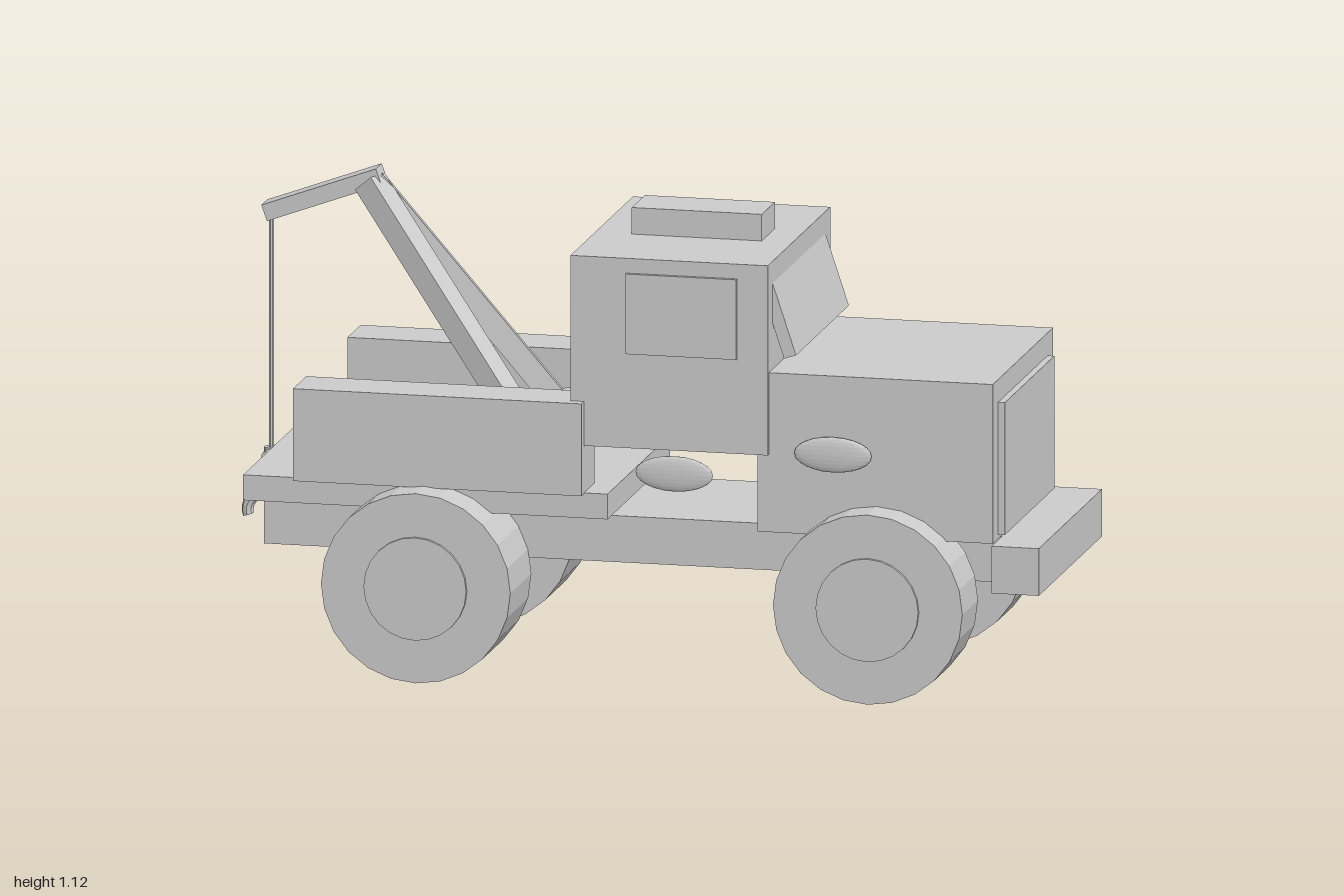
import * as THREE from 'three';

// Tow truck, built along local +x and then turned on its base
export function createModel() {
  const grey = new THREE.MeshStandardMaterial({ color: 0xcccccc, flatShading: true });
  grey.name = 'plain grey';
  const smoothGrey = grey;
  const truck = new THREE.Group();
  truck.name = 'towTruck';

  const add = (name, geometry, x = 0, y = 0, z = 0, material = grey) => {
    const mesh = new THREE.Mesh(geometry, material);
    mesh.name = name;
    mesh.position.set(x, y, z);
    truck.add(mesh);
    return mesh;
  };

  // Box given by its limits along each axis
  const block = (name, x0, x1, y0, y1, z0, z1) =>
    add(name, new THREE.BoxGeometry(x1 - x0, y1 - y0, z1 - z0),
      (x0 + x1) / 2, (y0 + y1) / 2, (z0 + z1) / 2);

  // Square beam between two points
  const beam = (name, from, to, width, height) => {
    const a = new THREE.Vector3(...from), b = new THREE.Vector3(...to);
    const mid = a.clone().add(b).multiplyScalar(0.5);
    const mesh = add(name, new THREE.BoxGeometry(width, height, a.distanceTo(b)), mid.x, mid.y, mid.z);
    mesh.lookAt(b);
    return mesh;
  };

  // Cylinder lying across the truck
  const roller = (name, radius, width, x, y, z, sides = 24) =>
    add(name, new THREE.CylinderGeometry(radius, radius, width, sides).rotateX(Math.PI / 2), x, y, z);

  // Frame, bumper and rear deck
  block('chassis', -0.92, 0.84, 0.264, 0.374, -0.21, 0.21);
  block('bumper', 0.835, 0.947, 0.262, 0.374, -0.317, 0.317);
  block('deck', -0.945, -0.079, 0.388, 0.448, -0.312, 0.312);

  // Hood and radiator plate
  block('hood', 0.275, 0.834, 0.376, 0.754, -0.302, 0.302);
  block('grille', 0.83, 0.85, 0.386, 0.7, -0.248, 0.248);

  // Cab, roof light and tilted windshield
  block('cab', -0.167, 0.302, 0.56, 1.01, -0.313, 0.313);
  block('roofLight', -0.08, 0.229, 1.005, 1.073, -0.066, 0.066);
  const windshield = add('windshield', new THREE.BoxGeometry(0.03, 0.2, 0.53), 0.312, 0.88, 0);
  windshield.rotation.z = 0.32;

  // Parts found on both sides
  for (const [side, s] of [['right', 1], ['left', -1]]) {
    block(side + 'DoorWindow', -0.034, 0.229, 0.785, 0.975,
      Math.min(s * 0.3, s * 0.323), Math.max(s * 0.3, s * 0.323));
    block(side + 'ToolBox', -0.82, -0.135, 0.446, 0.665,
      Math.min(s * 0.207, s * 0.339), Math.max(s * 0.207, s * 0.339));
    for (const [end, x, inner, outer] of [['Front', 0.558, 0.235, 0.392], ['Rear', -0.51, 0.207, 0.418]]) {
      const z = s * (inner + outer) / 2;
      roller(side + end + 'Tyre', 0.225, outer - inner, x, 0.225, z);
      roller(side + end + 'Hub', 0.122, outer - inner + 0.016, x, 0.225, z);
    }
    // Crane leg leaning to the middle
    beam(side + 'CraneLeg', [-0.24, 0.46, s * 0.18], [-0.715, 1.09, s * 0.012], 0.06, 0.055);
  }

  // Flat oval discs on the right side
  for (const [x, y] of [[0.08, 0.505], [0.457, 0.57]]) {
    const disc = add('ovalDisc', new THREE.SphereGeometry(1, 24, 12), x, y, 0.314);
    disc.scale.set(0.092, 0.042, 0.01);
  }

  // Winch drum, jib, cable and hook
  roller('winchDrum', 0.067, 0.314, -0.272, 0.52, 0);
  beam('jib', [-0.69, 1.105, 0], [-0.962, 1.005, 0], 0.06, 0.04);
  add('cable', new THREE.CylinderGeometry(0.006, 0.006, 0.56, 8), -0.952, 0.71, 0);
  add('hookShank', new THREE.CylinderGeometry(0.014, 0.014, 0.11, 10), -0.955, 0.39, 0);
  roller('hookPin', 0.012, 0.08, -0.955, 0.43, 0, 10);
  add('hook', new THREE.TorusGeometry(0.04, 0.014, 8, 14, Math.PI * 1.1), -0.968, 0.295, 0);

  // Turn the truck and keep it centred
  truck.position.set(-0.002, 0, -0.006);
  truck.rotation.y = THREE.MathUtils.degToRad(20);
  const model = new THREE.Group();
  model.name = 'model';
  model.add(truck);
  return model;
}
